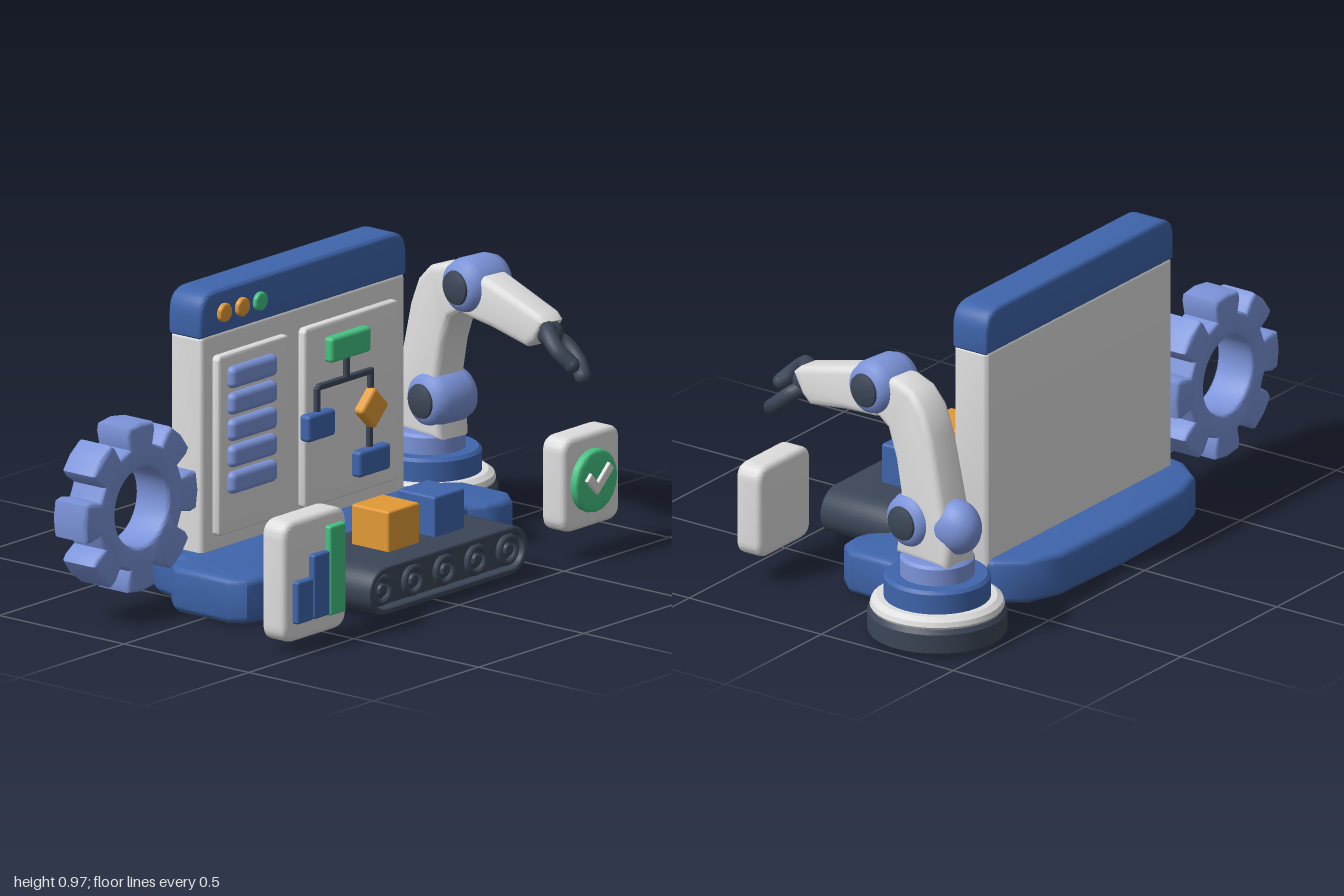
import * as THREE from 'three';
import { toCreasedNormals } from 'three/addons/utils/BufferGeometryUtils.js';
import { RoundedBoxGeometry } from 'three/addons/geometries/RoundedBoxGeometry.js';

const material = (name, color) => new THREE.MeshStandardMaterial({ name, color });

export function createModel() {
  const root = new THREE.Group();
  root.name = 'automationScene';
  const blue = material('blue', 0x3f65ac);
  const lightBlue = material('light blue', 0x7b93d9);
  const white = material('white', 0xdedede);
  const dark = material('slate', 0x3c4657);
  const green = material('green', 0x45c382);
  const orange = material('orange', 0xe39a36);

  const add = (name, geo, mat, parent = root, x = 0, y = 0, z = 0) => {
    const mesh = new THREE.Mesh(geo, mat);
    mesh.name = name;
    mesh.position.set(x, y, z);
    parent.add(mesh);
    return mesh;
  };
  const group = (name, x = 0, y = 0, z = 0) => {
    const g = new THREE.Group();
    g.name = name;
    g.position.set(x, y, z);
    root.add(g);
    return g;
  };
  const polygon = (pts) => new THREE.Shape(pts.map(([x, y]) => new THREE.Vector2(x, y)));
  // Rounded rectangle with separate bottom and top corner radii
  const roundRect = (x0, x1, y0, y1, rb, rt = rb) => {
    const s = new THREE.Shape();
    s.moveTo(x0 + rb, y0).lineTo(x1 - rb, y0).quadraticCurveTo(x1, y0, x1, y0 + rb);
    s.lineTo(x1, y1 - rt).quadraticCurveTo(x1, y1, x1 - rt, y1);
    s.lineTo(x0 + rt, y1).quadraticCurveTo(x0, y1, x0, y1 - rt);
    s.lineTo(x0, y0 + rb).quadraticCurveTo(x0, y0, x0 + rb, y0);
    return s;
  };
  // Extrusion from z0 to z1 whose bevel stays inside the outline
  const slab = (shape, z0, z1, bevel = 0.012) => {
    const geo = new THREE.ExtrudeGeometry(shape, {
      depth: z1 - z0 - 2 * bevel, bevelEnabled: true, bevelSize: bevel, bevelThickness: bevel,
      bevelOffset: -bevel, bevelSegments: 3, curveSegments: 10,
    });
    return geo.translate(0, 0, z0 + bevel);
  };
  const smooth = (geo, angle = 0.65) => toCreasedNormals(geo, angle);
  const box = (name, x0, x1, y0, y1, z0, z1, r, mat, parent) => add(name,
    new RoundedBoxGeometry(x1 - x0, y1 - y0, z1 - z0, 3, r), mat, parent,
    (x0 + x1) / 2, (y0 + y1) / 2, (z0 + z1) / 2);
  const disc = (name, r, z0, z1, bevel, mat, parent, x, y) => add(name,
    smooth(slab(new THREE.Shape().absarc(0, 0, r, 0, Math.PI * 2), z0, z1, bevel)), mat, parent, x, y);

  // Base with two front feet and a dark underside; outline points are x, z
  const outline = [[-0.41, 0.12], [0.49, 0.12], [0.53, 0.165], [0.58, 0.18], [0.64, 0.175], [0.69, 0.12],
    [0.69, -0.06], [0.62, -0.14], [0.52, -0.18], [0.5, -0.29], [0.43, -0.38], [0.32, -0.42], [0, -0.43],
    [-0.31, -0.42], [-0.43, -0.38], [-0.5, -0.29], [-0.525, -0.16], [-0.59, -0.155], [-0.63, -0.11],
    [-0.63, 0.11], [-0.6, 0.155], [-0.54, 0.175], [-0.46, 0.165]];
  const baseShape = polygon(outline.map(([x, z]) => [x, -z]).reverse());
  add('base', smooth(slab(baseShape, 0.004, 0.145, 0.02).rotateX(-Math.PI / 2)), blue);
  const underShape = polygon(outline.map(([x, z]) => [x * 0.97, -(z + 0.12) * 0.95 + 0.12]).reverse());
  add('baseUnderside', slab(underShape, 0, 0.009, 0.002).rotateX(-Math.PI / 2), dark);

  // Display window
  const win = group('window');
  add('windowBody', smooth(slab(roundRect(-0.46, 0.51, 0.1, 0.835, 0.02), -0.272, -0.145, 0.015)), white, win);
  add('windowHeader', smooth(slab(roundRect(-0.465, 0.515, 0.825, 0.97, 0.01, 0.075), -0.276, -0.142, 0.014)), blue, win);
  [[-0.41, -0.07], [0, 0.45]].forEach(([a, b]) =>
    add('windowPanel', smooth(slab(roundRect(a, b, 0.19, 0.765, 0.02), -0.15, -0.118, 0.01)), white, win));
  [orange, orange, green].forEach((m, i) =>
    disc('windowButton', 0.03, -0.15, -0.127, 0.008, m, win, -0.36 + i * 0.085, 0.893));
  for (let i = 0; i < 5; i++) {
    const y = 0.69 - i * 0.084;
    box('listPill', -0.37, -0.15, y - 0.035, y + 0.035, -0.135, -0.092, 0.02, lightBlue, win);
  }

  // Flow chart
  const chart = group('flowChart');
  box('chartTopNode', 0.095, 0.285, 0.64, 0.72, -0.13, -0.088, 0.012, green, chart);
  box('chartLeftNode', -0.015, 0.115, 0.41, 0.495, -0.13, -0.088, 0.012, blue, chart);
  box('chartLowerNode', 0.225, 0.375, 0.247, 0.33, -0.13, -0.086, 0.012, blue, chart);
  const diamond = box('chartDiamond', 0.252, 0.348, 0.407, 0.503, -0.13, -0.086, 0.012, orange, chart);
  diamond.rotation.z = Math.PI / 4;
  [[0.18, 0.2, 0.56, 0.65], [0.05, 0.315, 0.56, 0.58], [0.04, 0.06, 0.48, 0.572],
    [0.295, 0.315, 0.5, 0.572], [0.29, 0.31, 0.32, 0.4]].forEach(([a, b, c, d]) =>
    box('chartConnector', a, b, c, d, -0.125, -0.103, 0.006, dark, chart));

  // Gear with eight teeth
  const gearPts = [];
  for (let i = 0; i < 8; i++) {
    const c = i * Math.PI / 4;
    [[-0.275, 0.2], [-0.265, 0.245], [-0.22, 0.268], [0, 0.27], [0.22, 0.268], [0.265, 0.245], [0.275, 0.2]]
      .forEach(([a, r]) => gearPts.push([r * Math.cos(c + a), r * Math.sin(c + a)]));
  }
  const gearShape = polygon(gearPts);
  gearShape.holes.push(new THREE.Path().absarc(0, 0, 0.125, 0, Math.PI * 2, true));
  const gearGeo = new THREE.ExtrudeGeometry(gearShape, { depth: 0.105, bevelSize: 0.012,
    bevelThickness: 0.015, bevelOffset: -0.012, bevelSegments: 3, curveSegments: 24 });
  add('gear', smooth(gearGeo), lightBlue, root, -0.735, 0.35, -0.27);

  // Conveyor: belt loop, recessed side and five rollers
  const conveyor = group('conveyor');
  const stadium = (r, path) => path.absarc(0.325, 0.092, r, -Math.PI / 2, Math.PI / 2)
    .absarc(-0.275, 0.092, r, Math.PI / 2, Math.PI * 1.5).lineTo(0.325, 0.092 - r);
  const belt = stadium(0.076, new THREE.Shape());
  belt.holes.push(stadium(0.056, new THREE.Path()));
  add('conveyorBelt', smooth(slab(belt, 0.09, 0.44, 0.006)), dark, conveyor);
  add('conveyorCore', smooth(slab(stadium(0.062, new THREE.Shape()), 0.11, 0.405, 0.002)), dark, conveyor);
  for (let i = 0; i < 5; i++) {
    const x = -0.275 + i * 0.15;
    add('rollerRim', new THREE.TorusGeometry(0.04, 0.011, 8, 24), dark, conveyor, x, 0.092, 0.42);
    disc('rollerHub', 0.02, 0.39, 0.43, 0.005, dark, conveyor, x, 0.092);
  }
  box('orangeCrate', -0.14, 0.01, 0.16, 0.295, 0.185, 0.335, 0.008, orange, conveyor);
  box('blueCrate', 0.08, 0.225, 0.16, 0.295, 0.185, 0.335, 0.008, blue, conveyor);

  // Bar chart card
  const barCard = group('barChartCard');
  add('card', smooth(slab(roundRect(-0.78, -0.48, 0.03, 0.415, 0.055), 0.363, 0.457, 0.018)), white, barCard);
  [[-0.74, 0.09, 0.225, blue], [-0.662, 0.09, 0.295, blue], [-0.585, 0.085, 0.37, green]].forEach(([x, a, b, m]) =>
    box('chartBar', x, x + 0.077, a, b, 0.44, 0.478, 0.008, m, barCard));

  // Approval card
  const checkCard = group('checkCard');
  add('card', smooth(slab(roundRect(0.55, 0.82, 0.095, 0.395, 0.05), 0.363, 0.457, 0.018)), white, checkCard);
  disc('checkDisc', 0.1, 0.44, 0.483, 0.012, green, checkCard, 0.68, 0.245);
  add('checkMark', slab(polygon([[-0.062, 0.012], [-0.01, -0.04], [0.066, 0.03], [0.046, 0.052],
    [-0.01, 0], [-0.04, 0.034]]), 0.475, 0.495, 0.004), white, checkCard, 0.68, 0.245);

  // Robot pedestal
  const robot = group('robot', 0.78, 0, -0.28);
  const ring = (name, mat, pts) => add(name, smooth(new THREE.LatheGeometry(
    pts.map(([r, y]) => new THREE.Vector2(r, y)), 40), 0.5), mat, robot);
  ring('pedestalFoot', dark, [[0, 0.004], [0.2, 0.004], [0.215, 0.018], [0.215, 0.078], [0.205, 0.092], [0, 0.092]]);
  ring('pedestalCollar', white, [[0.2, 0.085], [0.208, 0.1], [0.203, 0.115], [0.185, 0.127], [0, 0.127]]);
  ring('pedestalDrum', blue, [[0.165, 0.12], [0.165, 0.19], [0.155, 0.2], [0, 0.2]]);
  ring('pedestalTop', lightBlue, [[0.115, 0.19], [0.115, 0.253], [0.105, 0.262], [0, 0.262]]);

  // Arm built in its own plane, turned slightly inward
  const arm = new THREE.Group();
  arm.name = 'arm';
  arm.rotation.y = -0.14;
  robot.add(arm);
  const limb = (name, pts, half, taper) => {
    const shape = new THREE.Shape();
    const v = pts.map(([z, y]) => new THREE.Vector2(z + 0.28, y));
    shape.moveTo(v[0].x, v[0].y);
    v.slice(1).forEach((p) => shape.lineTo(p.x, p.y));
    const geo = slab(shape, -half, half, 0.022).rotateY(-Math.PI / 2);
    const p = geo.attributes.position;
    for (let i = 0; i < p.count; i++) p.setX(i, p.getX(i) * taper(p.getY(i), p.getZ(i)));
    add(name, smooth(geo, 0.8), white, arm);
  };
  limb('upperArm', [[-0.16, 0.25], [-0.38, 0.25], [-0.385, 0.32], [-0.365, 0.4], [-0.305, 0.66], [-0.27, 0.745],
    [-0.22, 0.795], [-0.15, 0.815], [-0.05, 0.81], [-0.04, 0.7], [-0.12, 0.65], [-0.155, 0.56], [-0.18, 0.44]].reverse(),
  0.065, (y) => 1.1 - 0.25 * y);
  limb('forearm', [[-0.07, 0.67], [0.06, 0.655], [0.22, 0.625], [0.255, 0.65], [0.295, 0.715], [0.27, 0.737],
    [0.02, 0.808], [-0.07, 0.82]], 0.06, (y, z) => 1 - 0.6 * Math.max(0, z - 0.23));
  // Round joints with dark domed caps on both sides
  const joint = (name, z, y, r, half) => {
    const lathe = (pts) => smooth(new THREE.LatheGeometry(pts.map(([a, b]) =>
      new THREE.Vector2(a * r, b * half)), 32).rotateZ(-Math.PI / 2), 0.9);
    add(name, lathe([[0, -0.93], [0.68, -0.9], [0.88, -0.75], [1, -0.45], [1, 0.45], [0.88, 0.75],
      [0.68, 0.9], [0, 0.93]]), lightBlue, arm, 0, y, z + 0.28);
    add(name + 'Caps', lathe([[0, -1.06], [0.4, -1.04], [0.6, -0.97], [0.63, -0.88], [0.63, 0.88],
      [0.6, 0.97], [0.4, 1.04], [0, 1.06]]), dark, arm, 0, y, z + 0.28);
  };
  joint('shoulderJoint', -0.215, 0.37, 0.088, 0.1);
  joint('elbowJoint', -0.055, 0.765, 0.087, 0.1);
  add('rearCounterweight', new THREE.SphereGeometry(0.088, 28, 18).scale(0.8, 1, 1), lightBlue, arm, 0, 0.375, -0.08);
  [[0.05, 0.04, lightBlue], [0.054, 0.032, dark]].forEach(([x, r, m]) =>
    add('armPin', new THREE.CylinderGeometry(r, r, 2 * x, 24).rotateZ(Math.PI / 2).scale(1.06, 1.25, 0.75),
      m, arm, 0, 0.71, 0.095).rotation.x = 0.4);

  // Two-finger gripper
  const gripper = group('gripper');
  add('gripperPalm', new THREE.SphereGeometry(0.042, 20, 14), dark, gripper, 0.7, 0.675, 0.275);
  [[[0.69, 0.69, 0.28], [0.635, 0.7, 0.32], [0.612, 0.66, 0.375], [0.63, 0.615, 0.42]],
    [[0.7, 0.66, 0.27], [0.737, 0.64, 0.3], [0.735, 0.59, 0.36], [0.705, 0.56, 0.4]]].forEach((pts) => {
    const curve = new THREE.CatmullRomCurve3(pts.map((p) => new THREE.Vector3(...p)));
    add('gripperFinger', new THREE.TubeGeometry(curve, 16, 0.026, 10), dark, gripper);
    add('gripperTip', new THREE.SphereGeometry(0.026, 12, 10), dark, gripper, ...pts[3]);
  });
  return root;
}
